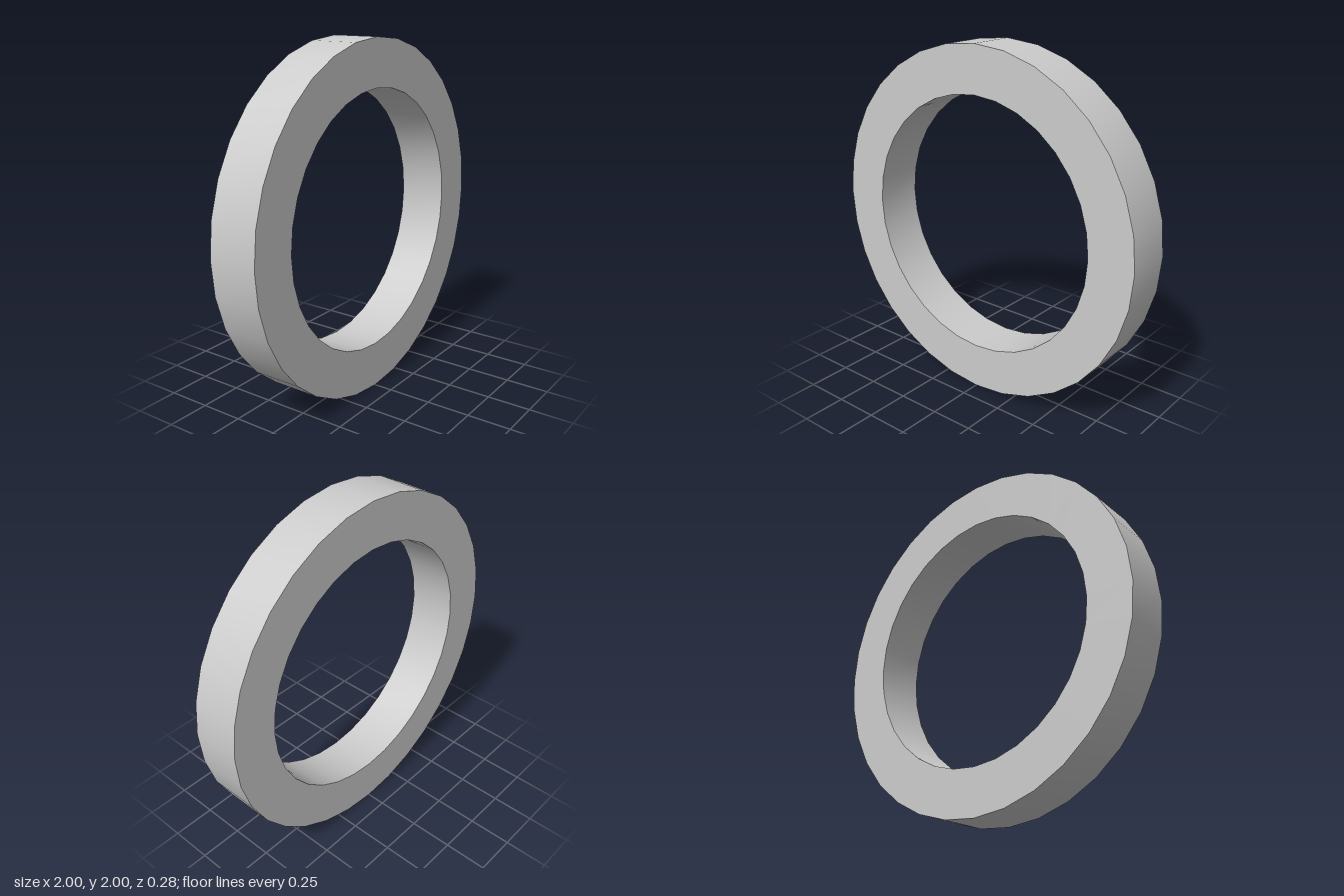
import * as THREE from 'three';
import { toCreasedNormals } from 'three/addons/utils/BufferGeometryUtils.js';

const OUTER = 1, INNER = 0.735, HALF_DEPTH = 0.14, SIDES = 32;

export function createModel() {
  const group = new THREE.Group();
  group.name = 'ringModel';

  // Closed rectangular section: outer wall, front face, inner wall, back face
  const section = [
    [OUTER, -HALF_DEPTH], [OUTER, HALF_DEPTH],
    [INNER, HALF_DEPTH], [INNER, -HALF_DEPTH],
    [OUTER, -HALF_DEPTH],
  ].map(([r, y]) => new THREE.Vector2(r, y));

  // Smooth round walls with sharp rims, stood upright facing the front
  const geometry = toCreasedNormals(new THREE.LatheGeometry(section, SIDES), 0.6);
  geometry.rotateX(Math.PI / 2);

  const ring = new THREE.Mesh(geometry, new THREE.MeshStandardMaterial({ color: 0xcccccc }));
  ring.name = 'ring';
  ring.position.y = OUTER;
  group.add(ring);
  return group;
}
